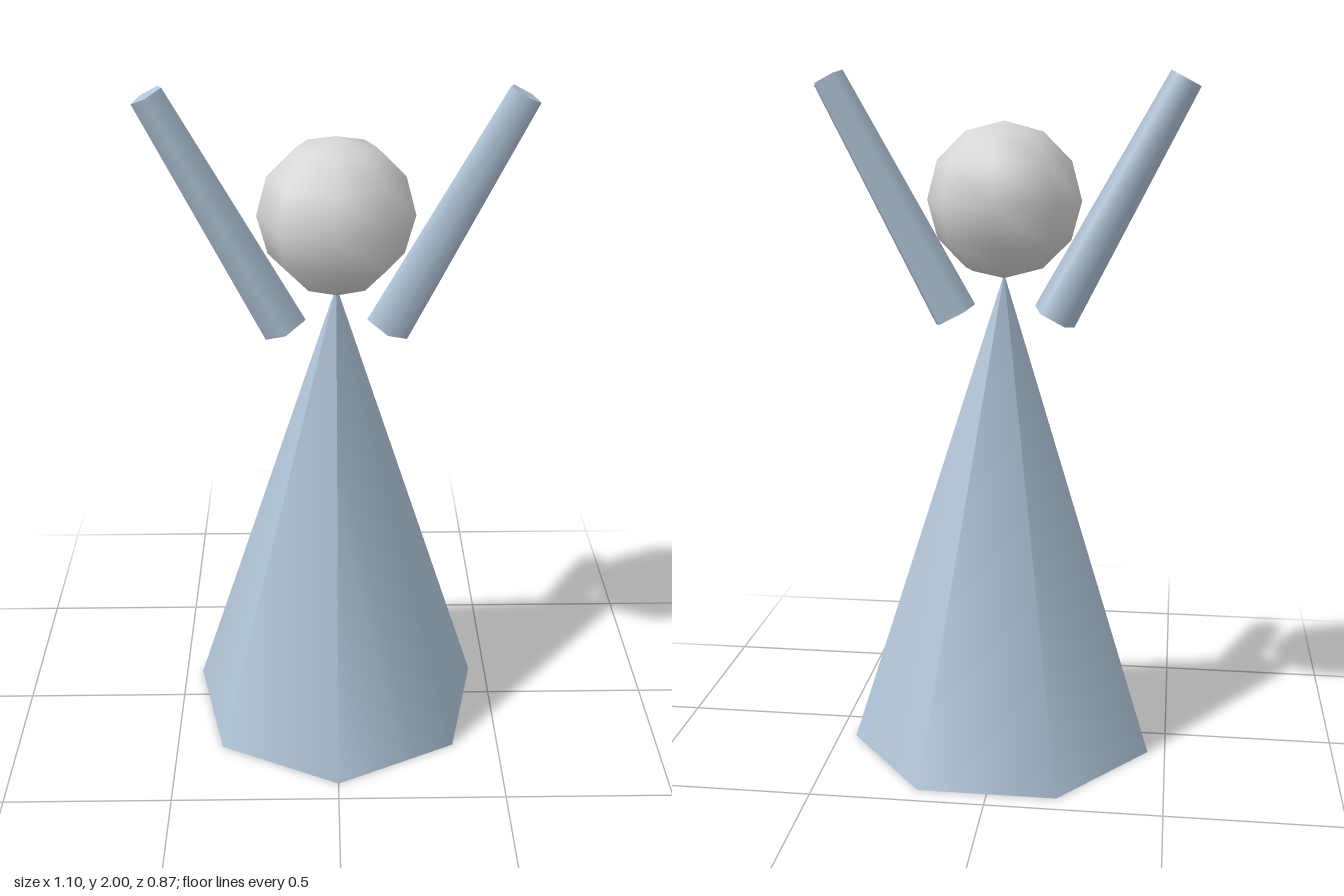
import * as THREE from 'three';

export function createModel() {
  const model = new THREE.Group();
  model.name = 'figure';
  const blue = new THREE.MeshStandardMaterial({ name: 'pale blue', color: 0xb0c4d8, side: THREE.DoubleSide });
  const grey = new THREE.MeshStandardMaterial({ name: 'light grey', color: 0xd6d6d6 });
  const axisZ = -0.025; // shared depth of all part axes

  const add = (name, geometry, material, x, y) => {
    const mesh = new THREE.Mesh(geometry, material);
    mesh.name = name;
    mesh.position.set(x, y, axisZ);
    model.add(mesh);
    return mesh;
  };

  // Seven-sided robe, open underneath
  const robeHeight = 1.43;
  add('robe', new THREE.ConeGeometry(0.46, robeHeight, 7, 1, true), blue, 0, robeHeight / 2);

  // Faceted round head resting on the tip
  add('head', new THREE.SphereGeometry(0.223, 8, 6), grey, 0, 1.64);

  // Raised, tapered five-sided arms
  const armGeometry = new THREE.CylinderGeometry(0.05, 0.069, 0.765, 5);
  for (const side of [1, -1]) {
    const arm = add(side > 0 ? 'leftArm' : 'rightArm', armGeometry, blue, side * 0.326, 1.642);
    arm.rotation.z = -side * 0.49;
  }
  return model;
}
